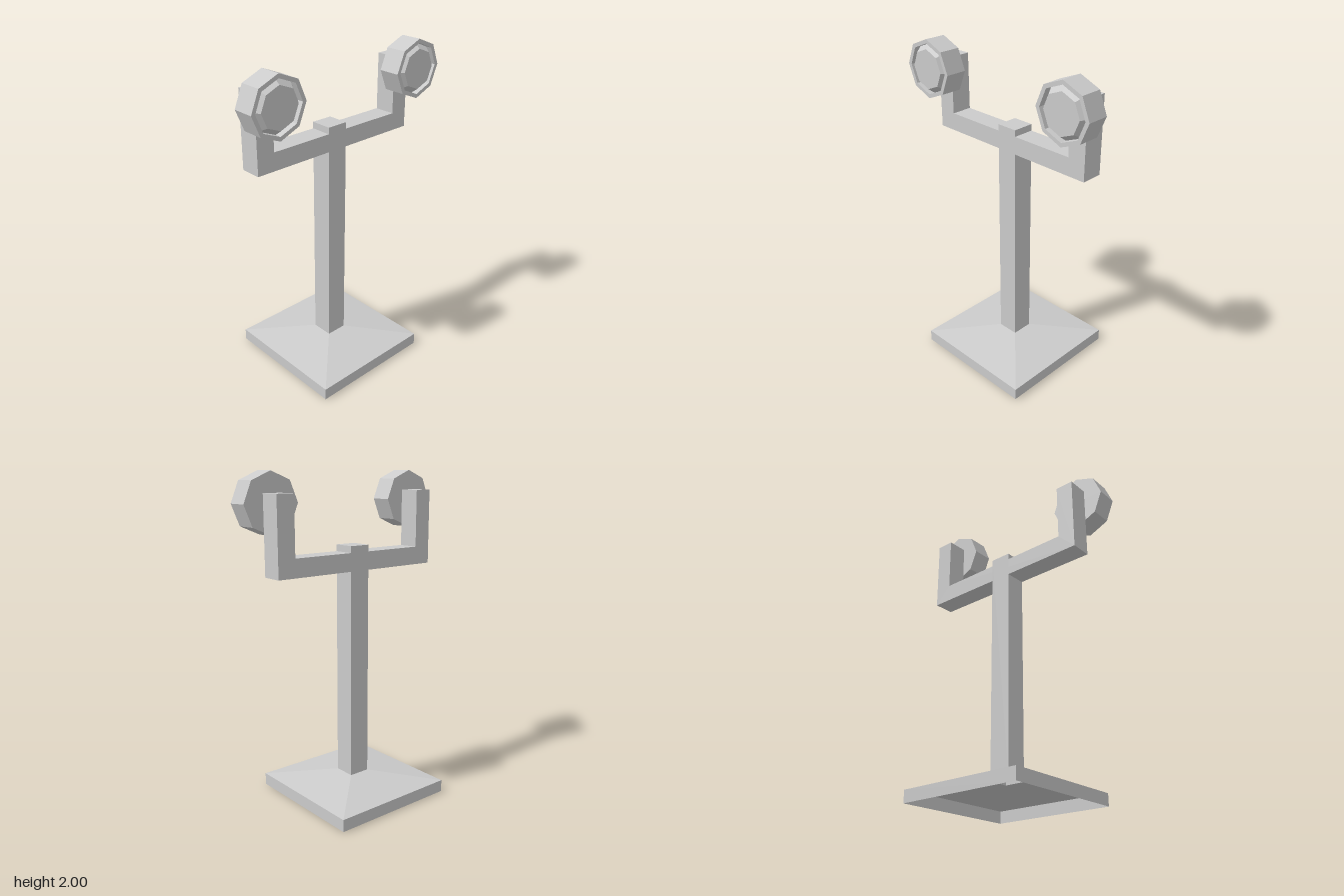
import * as THREE from 'three';

const material = new THREE.MeshStandardMaterial({
  color: 0xcccccc, flatShading: true, side: THREE.DoubleSide,
});

function part(name, geometry) {
  const mesh = new THREE.Mesh(geometry, material);
  mesh.name = name;
  return mesh;
}

const profile = (pairs) => pairs.map(([r, y]) => new THREE.Vector2(r, y));

// Square-section turned shape; the profile gives half widths and heights
function squareLathe(pairs) {
  const points = profile(pairs.map(([half, y]) => [half * Math.SQRT2, y]));
  return new THREE.LatheGeometry(points, 4).rotateY(Math.PI / 4);
}

export function createModel() {
  const group = new THREE.Group();
  const half = 0.067;

  // Hollow sloped foot, open underneath
  group.add(part('base', squareLathe([[0.403, 0], [0.403, 0.075], [half, 0.13]])));

  // Hollow post with a closed top
  group.add(part('post', squareLathe([[half, 0.13], [half, 1.57], [0, 1.57]])));

  // U-shaped crossbar with an upright at each end
  const outline = new THREE.Shape(profile([
    [-0.575, 1.42], [0.575, 1.42], [0.575, 1.88], [0.462, 1.88],
    [0.462, 1.53], [-0.462, 1.53], [-0.462, 1.88], [-0.575, 1.88],
  ]));
  const bar = new THREE.ExtrudeGeometry(outline, { depth: 2 * half - 0.002, bevelEnabled: false });
  group.add(part('crossbar', bar.translate(0, 0, -half + 0.001)));

  // Octagonal lamps: housing with rim, groove and raised lens
  const housing = profile([[0, 0.067], [0.177, 0.067], [0.177, 0.2], [0.152, 0.2], [0.152, 0.16]]);
  const lens = profile([[0.152, 0.16], [0.12, 0.204], [0, 0.204]]);
  for (const [side, x] of [['left', 0.52], ['right', -0.52]]) {
    const lamp = new THREE.Group();
    lamp.name = side + 'Lamp';
    lamp.add(part('housing', new THREE.LatheGeometry(housing, 8).rotateX(Math.PI / 2)));
    lamp.add(part('lens', new THREE.LatheGeometry(lens, 8).rotateX(Math.PI / 2)));
    lamp.position.set(x, 1.823, 0);
    group.add(lamp);
  }
  return group;
}
